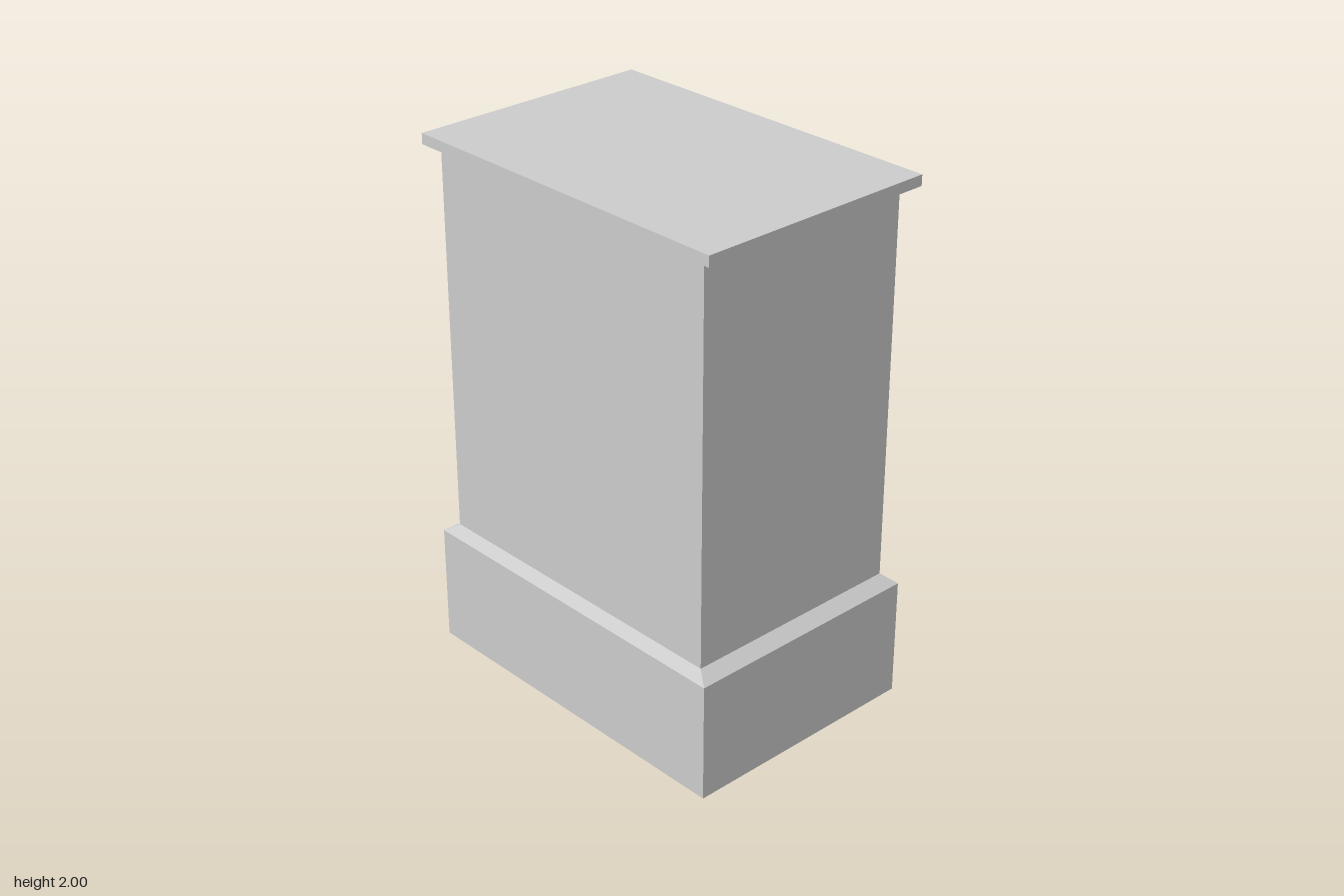
import * as THREE from 'three';

const material = new THREE.MeshStandardMaterial({ color: 0xcccccc, flatShading: true });

function addMesh(parent, name, geometry) {
  const mesh = new THREE.Mesh(geometry, material);
  mesh.name = name;
  parent.add(mesh);
  return mesh;
}

// Box given by its lower and upper limits on each axis
function addBox(parent, name, [x0, x1], [y0, y1], [z0, z1]) {
  const mesh = addMesh(parent, name, new THREE.BoxGeometry(x1 - x0, y1 - y0, z1 - z0));
  mesh.position.set((x0 + x1) / 2, (y0 + y1) / 2, (z0 + z1) / 2);
  return mesh;
}

function rectangle(path, x0, x1, y0, y1) {
  path.moveTo(x0, y0);
  path.lineTo(x1, y0);
  path.lineTo(x1, y1);
  path.lineTo(x0, y1);
  path.closePath();
  return path;
}

export function createModel() {
  const cabinet = new THREE.Group();
  cabinet.name = 'cabinet';

  // Plinth with a sloped shoulder up to the body
  addBox(cabinet, 'plinth', [-0.693, 0.693], [0, 0.45], [-0.475, 0.475]);
  const shoulder = addBox(cabinet, 'plinthShoulder', [-0.693, 0.693], [0.45, 0.485], [-0.475, 0.475]);
  const p = shoulder.geometry.attributes.position;
  for (let i = 0; i < p.count; i++) {
    if (p.getY(i) > 0) {
      p.setX(i, Math.sign(p.getX(i)) * 0.64);
      p.setZ(i, p.getZ(i) > 0 ? 0.44 : -0.435);
    }
  }
  shoulder.geometry.computeVertexNormals();

  // Main body and overhanging roof
  addBox(cabinet, 'body', [-0.64, 0.64], [0.485, 1.96], [-0.435, 0.44]);
  addBox(cabinet, 'roof', [-0.697, 0.697], [1.96, 2], [-0.475, 0.475]);

  // Narrow and wide doors on the back, with a thin seam between them
  const doorY = [0.49, 1.95], doorZ = [-0.45, -0.435];
  addBox(cabinet, 'narrowDoor', [0.156, 0.62], doorY, doorZ);
  addBox(cabinet, 'wideDoor', [-0.62, 0.15], doorY, doorZ);

  // Handle: raised rim around an upper and a lower panel
  const handle = new THREE.Group();
  handle.name = 'handle';
  const [x0, x1, y0, y1] = [-0.01, 0.106, 1.03, 1.272];
  const rim = 0.008, barY = 1.105;
  const shape = rectangle(new THREE.Shape(), x0, x1, y0, y1);
  const openings = [[y0 + rim, barY - rim / 2], [barY + rim / 2, y1 - rim]];
  for (const [a, b] of openings) {
    shape.holes.push(rectangle(new THREE.Path(), x0 + rim, x1 - rim, a, b));
    addBox(handle, 'handlePanel', [x0 + rim, x1 - rim], [a, b], [-0.453, -0.45]);
  }
  const frame = addMesh(handle, 'handleRim', new THREE.ExtrudeGeometry(shape, { depth: 0.011, bevelEnabled: false }));
  frame.position.z = -0.461;
  cabinet.add(handle);

  return cabinet;
}
